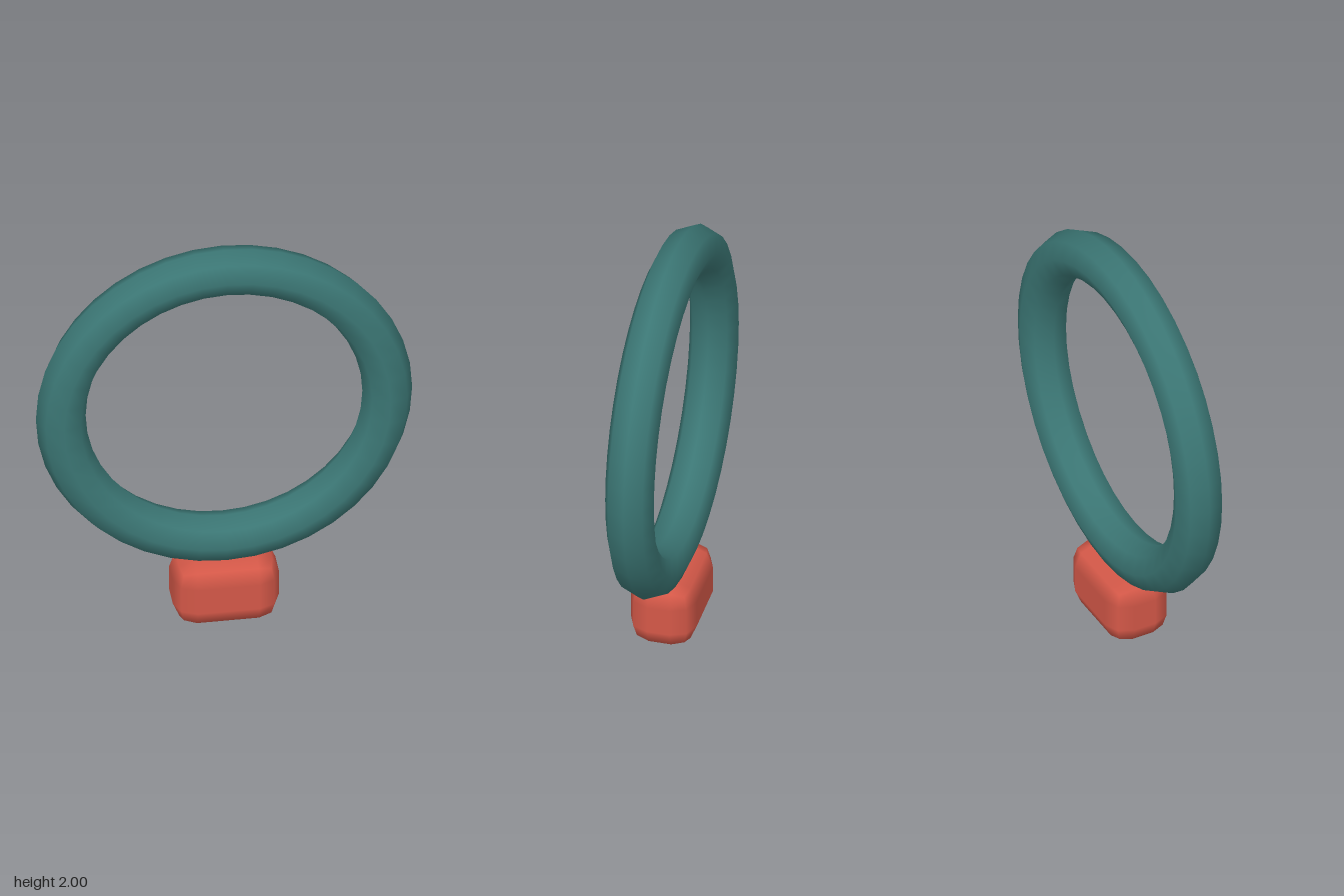
import * as THREE from 'three';
import { RoundedBoxGeometry } from 'three/addons/geometries/RoundedBoxGeometry.js';

export function createModel() {
  const model = new THREE.Group();
  model.name = 'ringOnBase';

  const teal = new THREE.MeshStandardMaterial({ color: 0x3b7674 });
  teal.name = 'teal';
  const coral = new THREE.MeshStandardMaterial({ color: 0xd45848 });
  coral.name = 'coral red';

  function addPart(name, geometry, material, y) {
    const mesh = new THREE.Mesh(geometry, material);
    mesh.name = name;
    mesh.position.y = y;
    model.add(mesh);
  }

  // Upright ring with an eight-sided tube
  addPart('ring', new THREE.TorusGeometry(0.7375, 0.1125, 8, 40), teal, 1.15);

  // Rounded block the ring sinks into slightly
  addPart('base', new RoundedBoxGeometry(0.48, 0.33, 0.304, 1, 0.1), coral, 0.165);

  return model;
}
